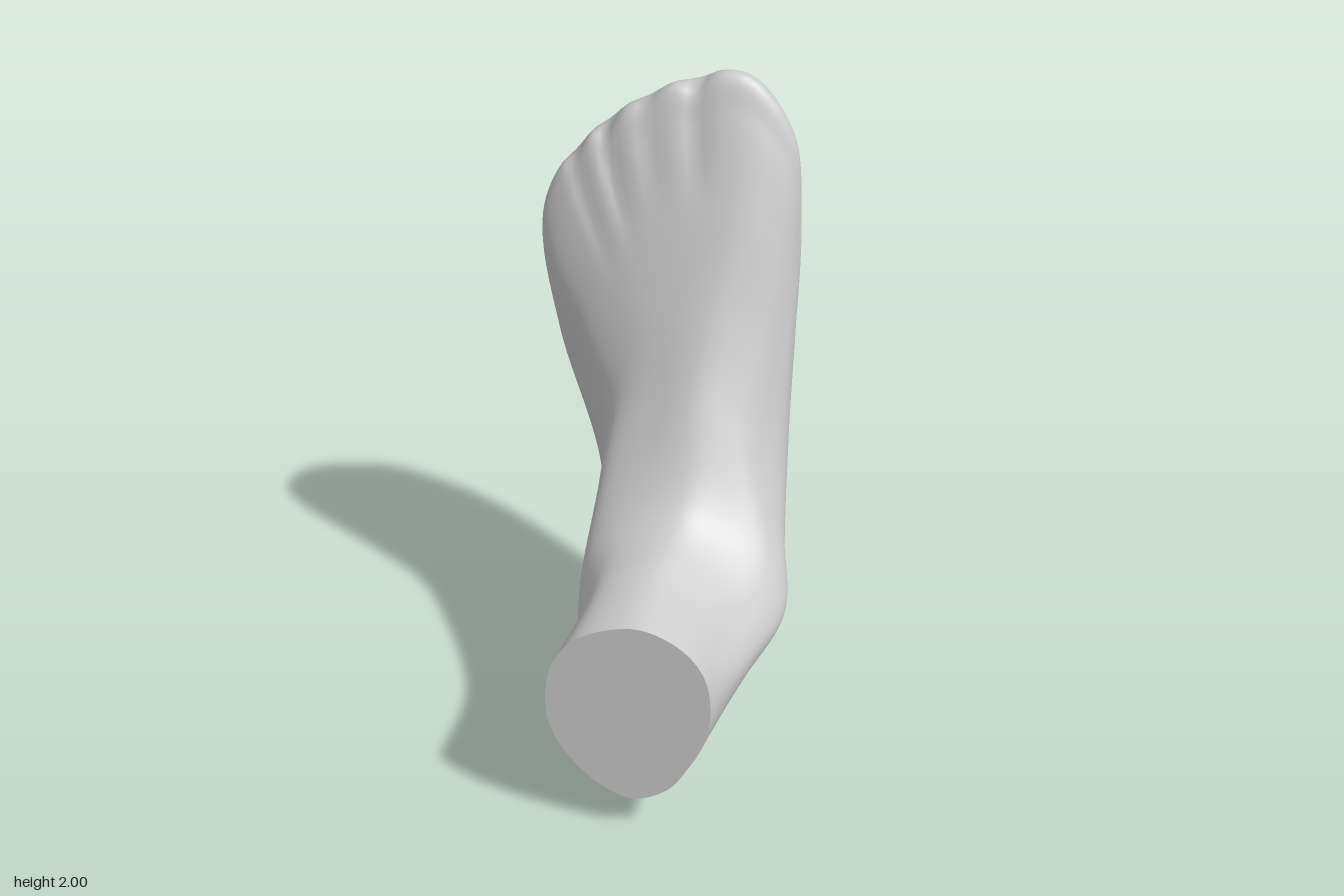
import * as THREE from 'three';

const AROUND = 196, STEPS = 10;

// Cross-sections stacked along z, from the sole to the cut of the leg:
// z, bottom y, top y, bottom x, top x, then inner (+x) and outer (-x) edges at the heights T
const T = [0.07, 0.22, 0.4, 0.6, 0.78, 0.92];
const FOOT = [
  [-0.54, 0.11, 1.94, 0.05, 0.17, 0.16, 0.20, 0.15, 0.22, 0.295, 0.265, -0.14, -0.185, -0.24, -0.365, -0.385, -0.215],
  [-0.515, 0.06, 1.98, 0.05, 0.17, 0.20, 0.25, 0.21, 0.29, 0.335, 0.30, -0.165, -0.20, -0.252, -0.383, -0.405, -0.215],
  [-0.45, 0.015, 2.00, 0.05, 0.17, 0.23, 0.295, 0.30, 0.345, 0.36, 0.325, -0.178, -0.207, -0.255, -0.388, -0.415, -0.21],
  [-0.40, 0.00, 1.90, 0.05, 0.17, 0.225, 0.30, 0.33, 0.357, 0.36, 0.32, -0.17, -0.205, -0.25, -0.365, -0.39, -0.20],
  [-0.31, 0.01, 1.65, 0.05, 0.18, 0.205, 0.29, 0.35, 0.36, 0.35, 0.30, -0.155, -0.195, -0.215, -0.265, -0.275, -0.13],
  [-0.20, 0.035, 1.36, 0.05, 0.14, 0.175, 0.275, 0.355, 0.37, 0.33, 0.265, -0.125, -0.17, -0.185, -0.185, -0.165, -0.05],
];
const LEG = [
  [-0.08, 0.065, 1.11, 0.04, 0.11, 0.145, 0.26, 0.36, 0.385, 0.32, 0.235, -0.085, -0.155, -0.185, -0.185, -0.165, -0.03],
  [0.10, 0.11, 0.83, 0.03, 0.10, 0.13, 0.215, 0.34, 0.418, 0.36, 0.23, -0.07, -0.15, -0.19, -0.205, -0.18, -0.08],
  [0.30, 0.115, 0.76, 0.03, 0.06, 0.13, 0.225, 0.305, 0.35, 0.28, 0.18, -0.07, -0.14, -0.17, -0.18, -0.15, -0.09],
  [0.545, 0.12, 0.72, 0.04, 0.05, 0.14, 0.205, 0.255, 0.268, 0.245, 0.175, -0.06, -0.15, -0.205, -0.213, -0.185, -0.11],
];

// Gaps between the toes: x and y at the rim, depth, sideways drift towards the instep
const GAPS = [
  [0.04, 1.95, 0.045, 0.1],
  [-0.11, 1.90, 0.03, 0.2],
  [-0.23, 1.81, 0.045, 0.35],
  [-0.32, 1.71, 0.03, 0.45],
];

// Control points of one section, counter-clockwise from its bottom
function sectionPoints([z, y0, y1, xb, xt, ...edge]) {
  const at = (x, t) => new THREE.Vector3(x, y0 + (y1 - y0) * t, z);
  const inner = T.map((t, i) => at(edge[i], t));
  const outer = T.map((t, i) => at(edge[i + T.length], t)).reverse();
  return [at(xb, 0), ...inner, at(xt, 1), ...outer];
}

// Presses the grooves between the toes into a point
function carveToes(p) {
  const above = THREE.MathUtils.smoothstep(p.z, -0.54, -0.44);
  let drop = 0;
  for (const [gx, gy, depth, drift] of GAPS) {
    const below = gy - p.y;
    const fade = 1 - THREE.MathUtils.smoothstep(below, 0.08, 0.36);
    const dx = (p.x - gx - drift * Math.max(0, below)) / 0.035;
    drop += depth * fade * Math.exp(-dx * dx);
  }
  p.y -= drop * above;
}

function makeRings() {
  const columns = [...FOOT, ...LEG].map(sectionPoints);
  const rails = columns[0].map((_, j) => new THREE.CatmullRomCurve3(columns.map(c => c[j])));
  const count = (columns.length - 1) * STEPS, rings = [];
  for (let i = 0; i <= count; i++) {
    const control = rails.map(r => r.getPoint(i / count));
    const ring = new THREE.CatmullRomCurve3(control, true).getPoints(AROUND).slice(0, AROUND);
    ring.forEach(carveToes);
    rings.push(ring);
  }
  return rings;
}

function meshFrom(name, points, index) {
  const geometry = new THREE.BufferGeometry().setFromPoints(points);
  geometry.setIndex(index);
  geometry.computeVertexNormals();
  const mesh = new THREE.Mesh(geometry, new THREE.MeshStandardMaterial({ color: 0xcccccc }));
  mesh.name = name;
  return mesh;
}

// Flat cap closing a ring
function cap(name, ring, flip) {
  const points = ring.map(p => new THREE.Vector2(p.x, p.y));
  const index = THREE.ShapeUtils.triangulateShape(points, [])
    .flatMap(([a, b, c]) => (flip ? [a, c, b] : [a, b, c]));
  return meshFrom(name, ring, index);
}

export function createModel() {
  const group = new THREE.Group();
  group.name = 'foot';
  const rings = makeRings();

  // Skin from the sole rim over toes, instep, heel and ankle to the leg
  const index = [];
  for (let i = 0; i < rings.length - 1; i++) {
    for (let j = 0; j < AROUND; j++) {
      const k = (j + 1) % AROUND;
      const a = i * AROUND + j, b = i * AROUND + k;
      index.push(a, b, b + AROUND, a, b + AROUND, a + AROUND);
    }
  }
  group.add(meshFrom('footAndAnkle', rings.flat(), index));

  // Flat sole and the cut end of the leg
  group.add(cap('sole', rings[0], true));
  group.add(cap('legCut', rings[rings.length - 1], false));
  return group;
}
